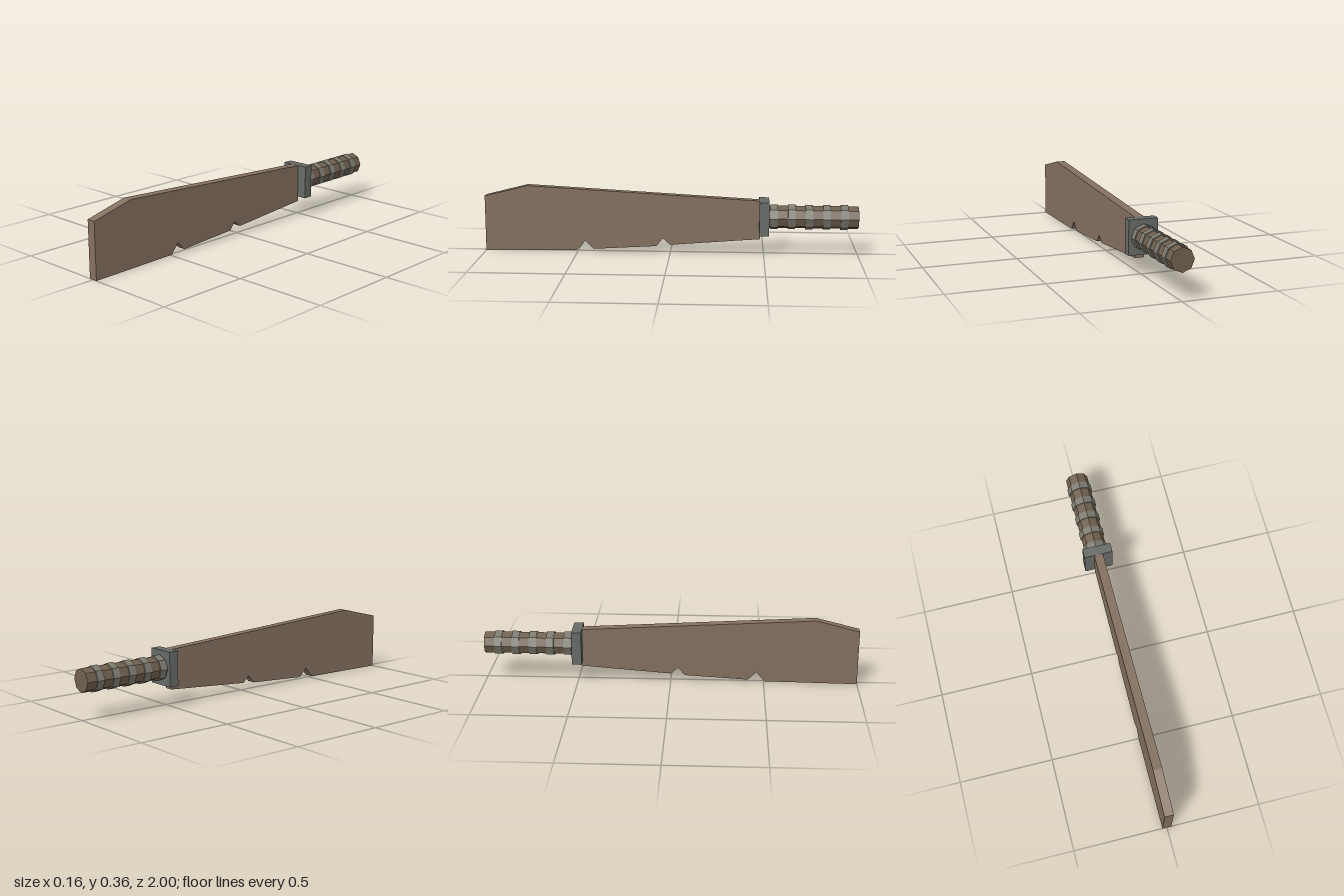
import * as THREE from 'three';

const material = (color) => new THREE.MeshStandardMaterial({ color, flatShading: true });

export function createModel() {
  const model = new THREE.Group();
  const bladeMat = material(0x84705f);
  const guardMat = material(0x676b67);
  const gripMat = material(0x6f5f4e);
  const ringMat = material(0x7d7b6f);

  const add = (name, geometry, mat, y = 0, z = 0) => {
    const mesh = new THREE.Mesh(geometry, mat);
    mesh.name = name;
    mesh.position.set(0, y, z);
    model.add(mesh);
  };

  // Blade: side outline as (z, y) with two chips in the cutting edge
  const thickness = 0.048;
  const outline = [
    [1, 0], [0.505, 0.007], [0.46, 0.06], [0.415, 0.015], [0.075, 0.035], [0.04, 0.077],
    [0, 0.043], [-0.48, 0.08], [-0.48, 0.288], [0.77, 0.358], [1, 0.3],
  ].map(([z, y]) => new THREE.Vector2(z, y));
  const blade = new THREE.ExtrudeGeometry(new THREE.Shape(outline), { depth: thickness, bevelEnabled: false });
  blade.translate(0, 0, -thickness / 2).rotateY(-Math.PI / 2);
  add('blade', blade, bladeMat);

  // Guard plate between blade and grip
  add('guard', new THREE.BoxGeometry(0.155, 0.182, 0.052), guardMat, 0.198, -0.501);

  // Octagonal grip wrapped by five raised bands
  const octagon = (radius, length) => new THREE.CylinderGeometry(radius, radius, length, 8).rotateX(Math.PI / 2);
  add('grip', octagon(0.061, 0.48), gripMat, 0.199, -0.76);
  for (let i = 0; i < 5; i++) {
    add(`gripBand${i + 1}`, octagon(0.067, 0.039), ringMat, 0.199, -0.553 - i * 0.093);
  }

  return model;
}
